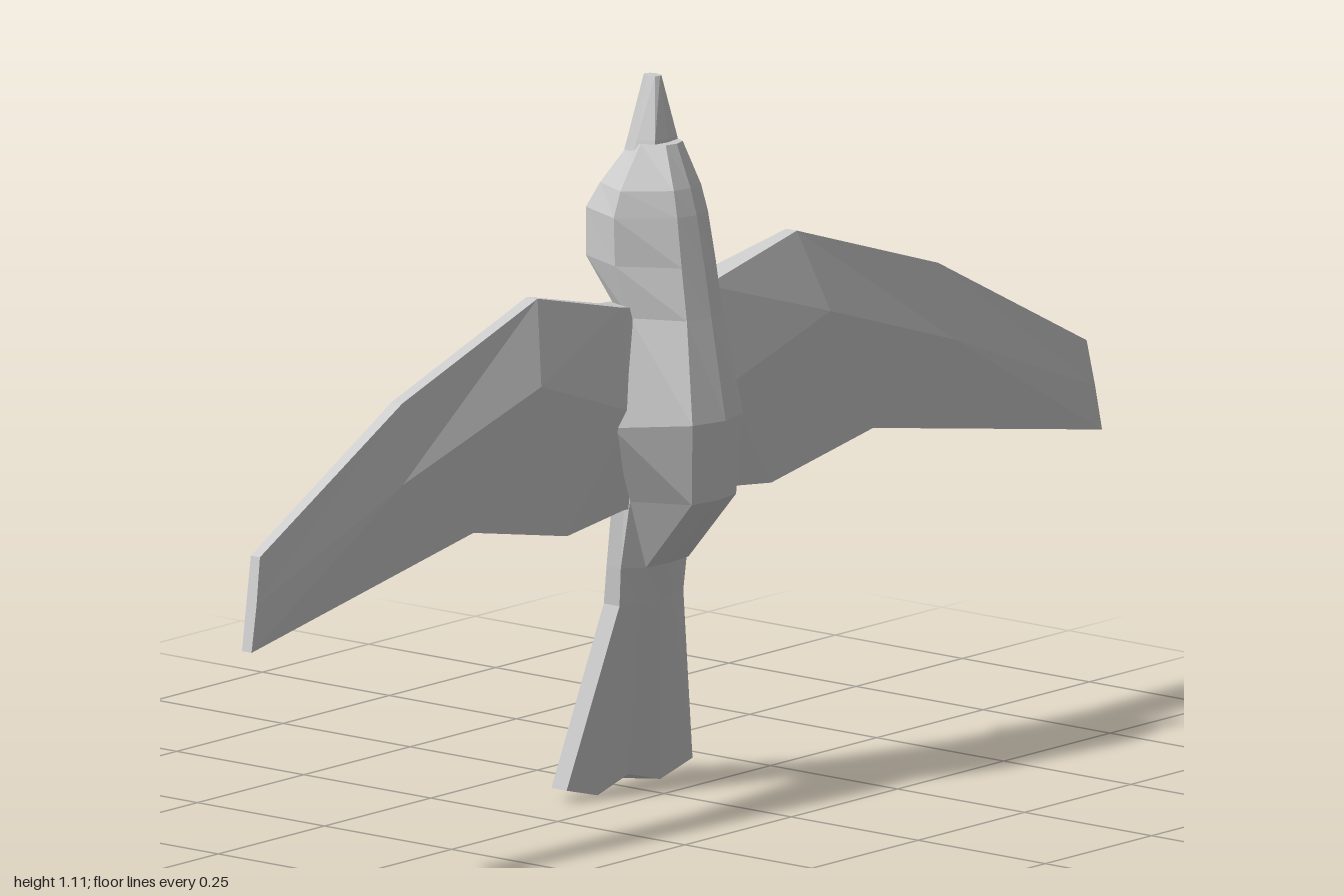
import * as THREE from 'three';

const plumage = new THREE.MeshStandardMaterial({ color: 0xcccccc, flatShading: true });
plumage.name = 'pale grey';

// Skin closed rings of [x, y, z] points, cap both ends, and face everything outward.
function loft(name, rings) {
  const tris = [];
  const n = rings[0].length;
  for (let r = 0; r < rings.length - 1; r++) {
    for (let i = 0; i < n; i++) {
      const j = (i + 1) % n;
      const a = rings[r][i], b = rings[r][j], c = rings[r + 1][j], d = rings[r + 1][i];
      tris.push([a, b, c], [a, c, d]);
    }
  }
  const cap = (ring, flip) => {
    const mid = [0, 1, 2].map(k => ring.reduce((s, p) => s + p[k], 0) / n);
    ring.forEach((p, i) => {
      const q = ring[(i + 1) % n];
      tris.push(flip ? [mid, q, p] : [mid, p, q]);
    });
  };
  cap(rings[0], true);
  cap(rings[rings.length - 1], false);

  const v = p => new THREE.Vector3(...p);
  const volume = tris.reduce((s, [a, b, c]) => s + v(a).dot(v(b).cross(v(c))), 0);
  if (volume < 0) tris.forEach(t => t.reverse());
  const geometry = new THREE.BufferGeometry();
  geometry.setAttribute('position', new THREE.Float32BufferAttribute(tris.flat(2), 3));
  geometry.computeVertexNormals();
  const mesh = new THREE.Mesh(geometry, plumage);
  mesh.name = name;
  return mesh;
}

// Complete a half outline (front centre round to back centre) with its mirror image.
const mirrorRing = half => [
  ...half,
  ...half.slice(1, -1).reverse().map(([x, y, z]) => [-x, y, z]),
];

// Head and belly: y, front z, panel x, panel z, side x, side z, rear x, rear z, back z
function makeBody() {
  const sections = [
    [1.015, 0.025, 0.020, 0.020, 0.038, -0.015, 0.022, -0.045, -0.050],
    [0.950, 0.052, 0.032, 0.046, 0.085, -0.015, 0.055, -0.080, -0.095],
    [0.910, 0.064, 0.036, 0.056, 0.097, -0.018, 0.062, -0.102, -0.117],
    [0.835, 0.079, 0.040, 0.068, 0.094, -0.018, 0.060, -0.104, -0.120],
    [0.755, 0.093, 0.042, 0.080, 0.080, 0.000, 0.060, -0.040, -0.065],
    [0.600, 0.121, 0.060, 0.106, 0.148, 0.022, 0.080, -0.030, -0.060],
    [0.475, 0.106, 0.052, 0.098, 0.092, 0.010, 0.070, -0.030, -0.060],
    [0.365, 0.012, 0.050, 0.006, 0.078, -0.020, 0.060, -0.040, -0.060],
  ];
  return loft('body', sections.map(([y, zf, x1, z1, x2, z2, x3, z3, zb]) =>
    mirrorRing([[0, y, zf], [x1, y, z1], [x2, y, z2], [x3, y, z3], [0, y, zb]])));
}

// Six-sided tapering beak
function makeBeak() {
  const ring = (y, w, front, back) => {
    const z = (front + back) / 2;
    return mirrorRing([[0, y, front], [w * 0.7, y, front - 0.004], [w, y, z],
      [w * 0.7, y, back + 0.004], [0, y, back]]);
  };
  return loft('beak', [ring(1.0, 0.042, 0.010, -0.058), ring(1.02, 0.037, 0.008, -0.054),
    ring(1.115, 0.011, -0.008, -0.038)]);
}

// Fan tail with a shallow scalloped tip
function makeTail() {
  // edge x, centre/middle/edge y, front centre/edge z, back edge/centre z
  const sections = [
    [0.080, 0.465, 0.465, 0.465, 0.000, -0.012, -0.036, -0.078],
    [0.078, 0.365, 0.365, 0.365, 0.010, -0.020, -0.048, -0.082],
    [0.075, 0.305, 0.305, 0.305, -0.005, -0.025, -0.056, -0.086],
    [0.148, 0.026, 0.006, 0.026, -0.070, -0.068, -0.098, -0.099],
  ];
  return loft('tail', sections.map(([x, yc, ym, ye, fc, fe, be, bc]) => mirrorRing([
    [0, yc, fc], [x / 2, ym, (fc + fe) / 2], [x, ye, fe],
    [x, ye, be], [x / 2, ym, (be + bc) / 2], [0, yc, bc],
  ])));
}

// Wing: leading edge, raised middle and trailing edge, each [x, y, front z, back z]
function makeWing(name, side) {
  const stations = [
    [[0, 0.760, 0.000, -0.074], [0, 0.610, 0.030, -0.076], [0, 0.460, 0.005, -0.078]],
    [[0.10, 0.775, 0.000, -0.046], [0.11, 0.620, 0.030, -0.050], [0.10, 0.462, 0.004, -0.034]],
    [[0.305, 0.825, 0.006, -0.015], [0.34, 0.700, 0.043, -0.018], [0.24, 0.447, 0.010, -0.012]],
    [[0.63, 0.720, 0.012, -0.008], [0.65, 0.600, 0.030, -0.005], [0.47, 0.493, 0.018, -0.002]],
    [[0.972, 0.542, 0.018, 0.000], [0.986, 0.470, 0.023, 0.003], [1.0, 0.400, 0.025, 0.006]],
  ];
  return loft(name, stations.map(([lead, mid, trail]) => {
    const front = ([x, y, z]) => [side * x, y, z];
    const back = ([x, y, , z]) => [side * x, y, z];
    return [front(lead), front(mid), front(trail), back(trail), back(mid), back(lead)];
  }));
}

export function createModel() {
  const bird = new THREE.Group();
  bird.name = 'bird';
  bird.add(makeBody(), makeBeak(), makeTail(), makeWing('leftWing', 1), makeWing('rightWing', -1));
  // Rest the tail tip on the ground
  const box = new THREE.Box3().setFromObject(bird);
  bird.position.y = -box.min.y;
  return bird;
}
